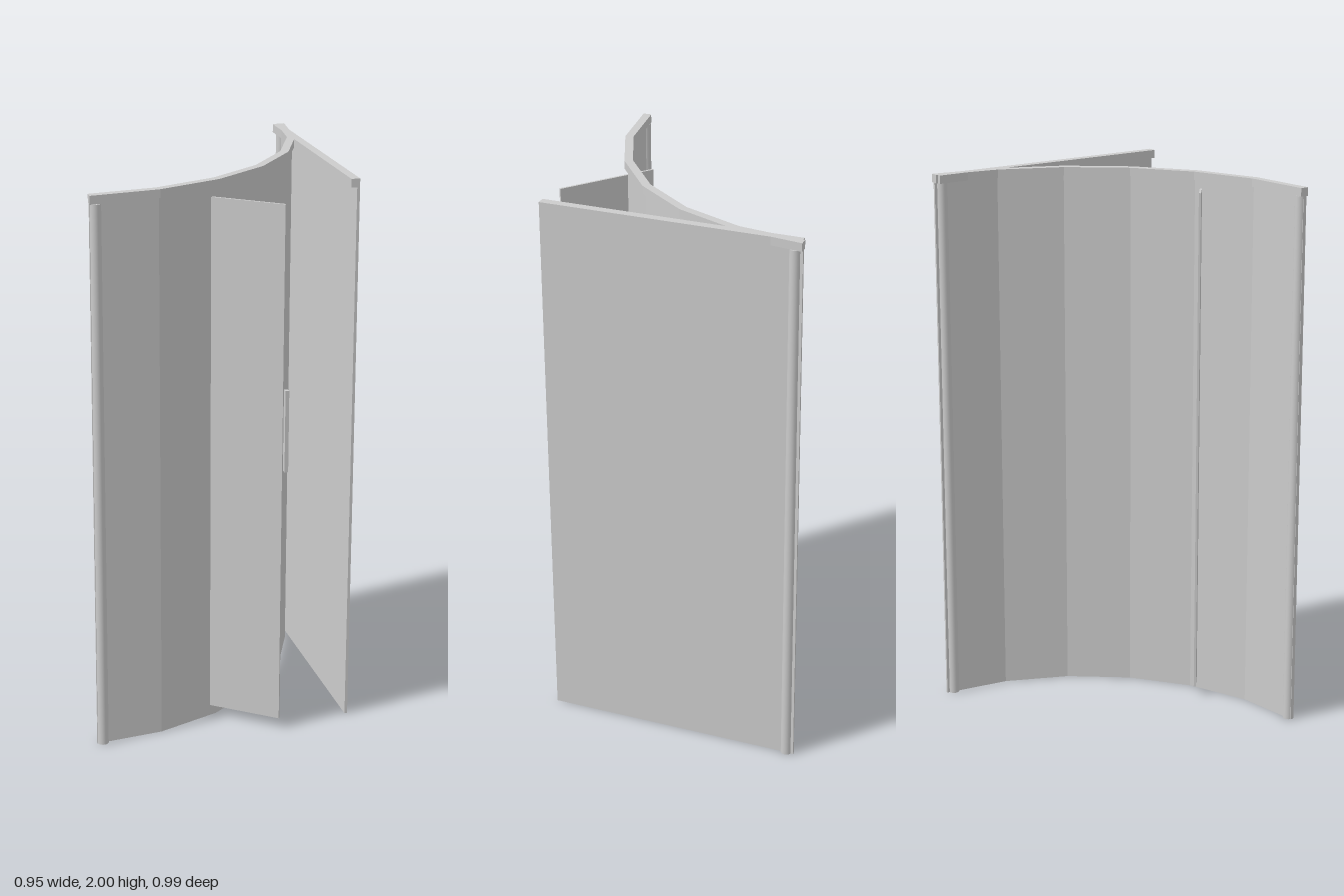
import * as THREE from 'three';

const material = new THREE.MeshStandardMaterial({ color: 0xcccccc, flatShading: true });
const smooth = new THREE.MeshStandardMaterial({ color: 0xcccccc });

// Quarter-circle plan of the screen: corner of the arc, radius, facets
const ARC = { x: -0.477, z: -0.497, radius: 0.936, segments: 6 };

function add(group, name, geometry, x, y, z, mat = material) {
  const mesh = new THREE.Mesh(geometry, mat);
  mesh.name = name;
  mesh.position.set(x, y, z);
  group.add(mesh);
  return mesh;
}

// Faceted curved wall of a given thickness, standing on its local y = 0
function curvedWall(thickness, height, from = 0, to = Math.PI / 2) {
  const edge = (r) => Array.from({ length: ARC.segments + 1 }, (_, i) => {
    const a = from + ((to - from) * i) / ARC.segments;
    return new THREE.Vector2(ARC.x + r * Math.cos(a), -(ARC.z + r * Math.sin(a)));
  });
  const outer = edge(ARC.radius + thickness / 2);
  const inner = edge(ARC.radius - thickness / 2).reverse();
  const shape = new THREE.Shape([...outer, ...inner]);
  return new THREE.ExtrudeGeometry(shape, { depth: height, bevelEnabled: false }).rotateX(-Math.PI / 2);
}

export function createModel() {
  const model = new THREE.Group();
  model.name = 'showerScreen';

  // Curved glass and the rail along its top
  add(model, 'curvedGlass', curvedWall(0.008, 1.98), 0, 0, 0);
  add(model, 'curvedTopRail', curvedWall(0.03, 0.03), 0, 1.97, 0);

  // Flat side glass, flush with the outer face of its rail
  add(model, 'sideGlass', new THREE.BoxGeometry(0.01, 2, 0.92), 0.454, 1, -0.02);
  add(model, 'sideTopRail', new THREE.BoxGeometry(0.03, 0.03, 0.93), 0.443, 1.985, -0.025);

  // Round upright at each end of the curve
  for (const [name, x, z] of [['rightUpright', -0.456, 0.439], ['leftUpright', 0.455, -0.468]]) {
    add(model, name, new THREE.CylinderGeometry(0.02, 0.02, 1.97, 24), x, 0.985, z, smooth);
  }

  // Pivoting door leaf crossing the curve
  const a = new THREE.Vector2(-0.106, 0.263);
  const b = new THREE.Vector2(0.183, 0.491);
  const door = add(model, 'doorLeaf', new THREE.BoxGeometry(a.distanceTo(b), 1.9, 0.008),
    (a.x + b.x) / 2, 0.99, (a.y + b.y) / 2);
  door.rotation.y = -Math.atan2(b.y - a.y, b.x - a.x);

  // Slim pull handle
  add(model, 'handle', new THREE.BoxGeometry(0.014, 0.31, 0.02), 0.288, 1.025, 0.187);

  return model;
}
